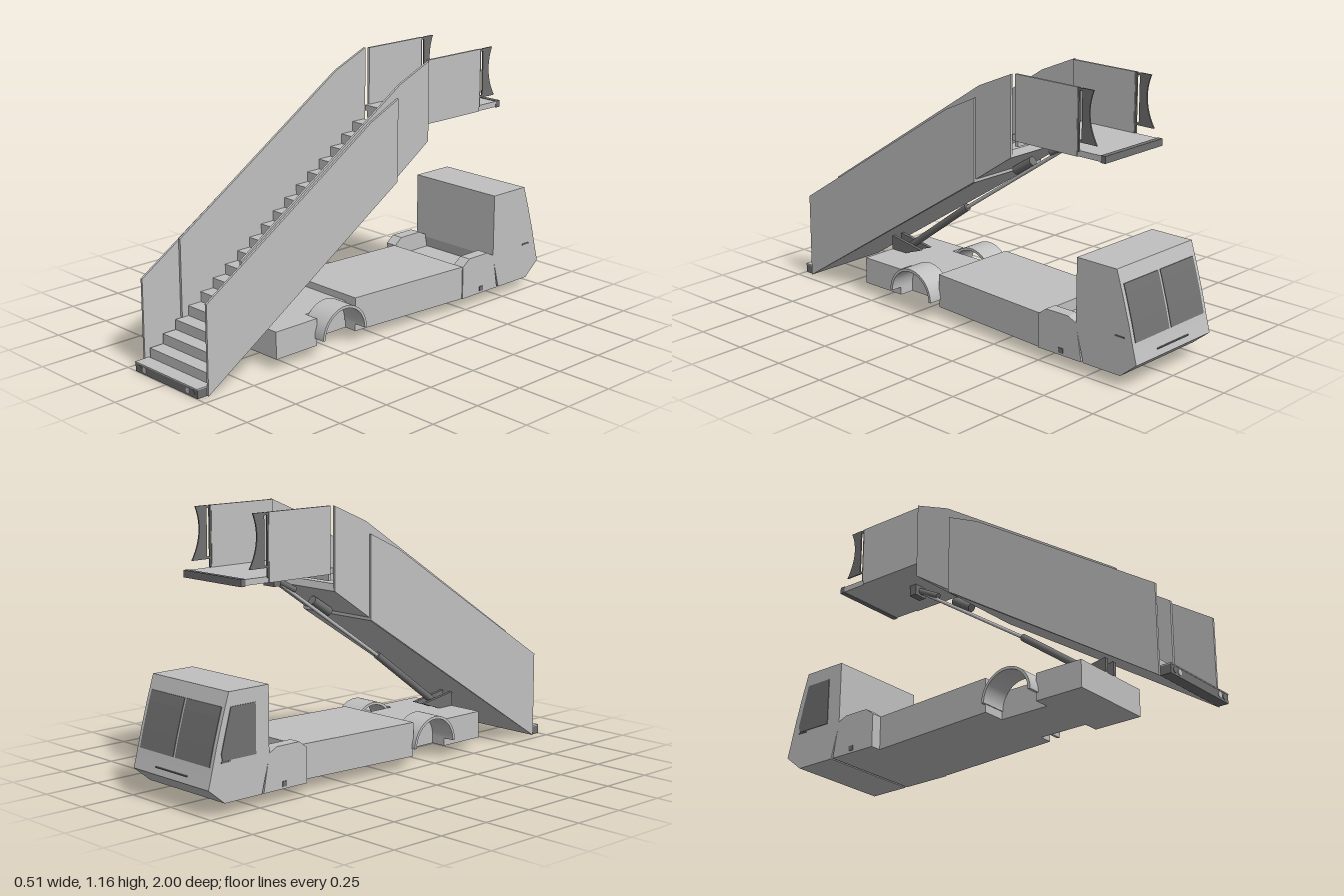
import * as THREE from 'three';

const light = new THREE.MeshStandardMaterial({ color: 0xc0c0c0, side: THREE.DoubleSide });
light.name = 'light grey';
const dark = new THREE.MeshStandardMaterial({ color: 0x707070, side: THREE.DoubleSide });
dark.name = 'dark grey';

export function createModel() {
  const model = new THREE.Group();
  model.name = 'boardingStairTruck';

  const add = (name, geometry, material = light) => {
    const mesh = new THREE.Mesh(geometry, material);
    mesh.name = name;
    model.add(mesh);
    return mesh;
  };
  // Box given by its limits
  const box = (name, x0, x1, y0, y1, z0, z1, material) =>
    add(name, new THREE.BoxGeometry(x1 - x0, y1 - y0, z1 - z0)
      .translate((x0 + x1) / 2, (y0 + y1) / 2, (z0 + z1) / 2), material);
  // Side profile of [z, y] points, extruded between x0 and x1
  const toShape = (pts) => new THREE.Shape(pts.map(([z, y]) => new THREE.Vector2(z, y)));
  const profile = (name, shape, x0, x1, material) => {
    const s = Array.isArray(shape) ? toShape(shape) : shape;
    const g = new THREE.ExtrudeGeometry(s, { depth: x1 - x0, bevelEnabled: false, curveSegments: 20 });
    return add(name, g.rotateY(-Math.PI / 2).translate(x1, 0, 0), material);
  };
  // The same profile on both sides
  const pair = (name, shape, inner, outer, material) => {
    profile(name + 'Left', shape, inner, outer, material);
    profile(name + 'Right', shape, -outer, -inner, material);
  };
  // Rod between two [z, y] points on the centre line
  const rod = (name, a, b, radius, material) => {
    const p = new THREE.Vector3(0, a[1], a[0]), q = new THREE.Vector3(0, b[1], b[0]);
    const d = q.clone().sub(p);
    const mesh = add(name, new THREE.CylinderGeometry(radius, radius, d.length(), 16), material);
    mesh.position.copy(p).add(q).multiplyScalar(0.5);
    mesh.quaternion.setFromUnitVectors(new THREE.Vector3(0, 1, 0), d.normalize());
  };

  // Stair flight: saw-tooth treads over a sloping underside
  const steps = [[0.95, 0.01], [0.95, 0.04]];
  for (let k = 1; k <= 18; k++) {
    const z = 0.93 - 0.0675 * (k - 1), y = 0.04 + 0.0444 * k;
    steps.push([z, y - 0.0444], [z, y]);
  }
  steps.push([-0.285, 0.839], [-0.295, 0.81], [-0.1, 0.68]);
  profile('steps', steps, -0.19, 0.19);
  profile('stairUnderside', [[0.95, 0], [0.95, 0.015], [-0.1, 0.682], [-0.1, 0.667]], -0.205, 0.205);

  // Overlapping side panels of the lower and upper flights
  pair('lowerSidePanel', [[0.95, 0], [0.95, 0.385], [0.06, 0.955], [-0.1, 1.03], [-0.1, 0.67]], 0.2, 0.21);
  pair('upperSidePanel', [[0.76, 0.13], [0.76, 0.515], [-0.12, 1.085], [-0.295, 1.16], [-0.295, 0.81], [-0.1, 0.68]],
    0.188, 0.199);

  // Foot bumper with round lamps
  box('footBumper', -0.2, 0.2, 0, 0.037, 0.95, 0.998, dark);
  box('footTread', -0.2, 0.2, 0.037, 0.042, 0.93, 1);
  for (const x of [-0.172, -0.14, 0.14, 0.172]) {
    add('footLamp', new THREE.CylinderGeometry(0.012, 0.012, 0.004, 20).rotateX(Math.PI / 2)
      .translate(x, 0.02, 0.998), Math.abs(x) < 0.15 ? light : dark);
  }

  // Upper platform
  box('platformFloor', -0.178, 0.178, 0.88, 0.905, -0.752, -0.285);
  box('platformLip', -0.165, 0.16, 0.85, 0.905, -0.3, -0.285);
  box('platformBumper', -0.18, 0.18, 0.877, 0.907, -0.775, -0.752, dark);
  pair('platformPanel', [[-0.305, 0.88], [-0.305, 1.16], [-0.633, 1.16], [-0.633, 0.88]], 0.173, 0.184);
  pair('platformPost', [[-0.633, 0.9], [-0.633, 1.16], [-0.641, 1.16], [-0.641, 0.9]], 0.175, 0.183, dark);
  // Concave end wings with their small hinges
  const wing = new THREE.Shape();
  wing.moveTo(-0.655, 0.94);
  wing.lineTo(-0.655, 1.16);
  wing.lineTo(-0.713, 1.16);
  wing.quadraticCurveTo(-0.665, 1.05, -0.733, 0.94);
  pair('endWing', wing, 0.176, 0.182, dark);
  for (const y of [0.94, 1.148]) {
    pair('wingHinge', [[-0.64, y], [-0.64, y + 0.01], [-0.656, y + 0.01], [-0.656, y]], 0.176, 0.182, dark);
  }

  // Telescopic lifting ram
  rod('ramCylinder', [0.51, 0.19], [0.14, 0.46], 0.016, dark);
  rod('ramRod', [0.14, 0.46], [-0.45, 0.855], 0.008, light);
  rod('ramCollar', [-0.145, 0.685], [-0.24, 0.745], 0.02, dark);
  rod('ramHead', [-0.34, 0.8], [-0.45, 0.858], 0.014, dark);
  box('ramTopBracket', -0.035, 0.03, 0.83, 0.88, -0.48, -0.445, dark);
  pair('ramBaseBracket', [[0.585, 0.17], [0.585, 0.235], [0.4, 0.205], [0.5, 0.17]], 0.02, 0.035, dark);

  // Chassis
  box('frontChassis', -0.2, 0.2, 0.05, 0.17, 0.36, 0.585);
  box('axleChassis', -0.13, 0.13, 0.05, 0.17, 0.13, 0.36);
  box('rearChassis', -0.185, 0.185, 0.05, 0.15, -0.72, -0.48);
  // Middle deck, slightly skewed across the frame
  const deck = new THREE.BoxGeometry(0.426, 0.15, 0.62).translate(0, 0.125, -0.18);
  const p = deck.attributes.position;
  for (let i = 0; i < p.count; i++) p.setX(i, p.getX(i) + (p.getZ(i) > -0.18 ? -0.022 : 0.022));
  deck.computeVertexNormals();
  add('middleDeck', deck);

  // Open half-round front wheel arches
  const arch = new THREE.Shape();
  arch.absarc(0.247, 0.085, 0.125, 0, Math.PI, false);
  arch.absarc(0.247, 0.085, 0.113, Math.PI, 0, true);
  pair('frontWheelArch', arch, 0.13, 0.253);

  // Rear wheel covers
  pair('rearWheelCover', [[-0.49, 0.05], [-0.49, 0.2], [-0.53, 0.23], [-0.65, 0.23], [-0.69, 0.21], [-0.72, 0.05]],
    0.185, 0.24);
  pair('coverLamp', [[-0.6, 0.06], [-0.6, 0.082], [-0.623, 0.082], [-0.623, 0.06]], 0.239, 0.243, dark);

  // Cab with a raked, bowed nose
  profile('cab', [[-0.69, 0.2], [-0.69, 0.49], [-0.893, 0.49], [-0.925, 0.39], [-0.957, 0.28], [-0.985, 0.17],
    [-1, 0.115], [-0.92, 0.05], [-0.73, 0.05]], -0.24, 0.24);
  // Two windscreen panes following the nose
  const edge = [[-0.912, 0.43], [-0.925, 0.39], [-0.957, 0.28], [-0.977, 0.2]];
  const pane = [...edge.map(([z, y]) => [z - 0.003, y]), ...edge.map(([z, y]) => [z + 0.003, y]).reverse()];
  pair('windscreen', pane, 0.006, 0.222, dark);
  // Right side window, side marks and nose slot
  profile('sideWindow', [[-0.76, 0.22], [-0.76, 0.43], [-0.885, 0.43], [-0.935, 0.25], [-0.93, 0.22]],
    -0.243, -0.239, dark);
  pair('sideMark', [[-0.89, 0.212], [-0.89, 0.218], [-0.937, 0.218], [-0.937, 0.212]], 0.239, 0.243, dark);
  box('noseSlot', -0.1, 0.1, 0.142, 0.147, -0.997, -0.989, dark);

  return model;
}
